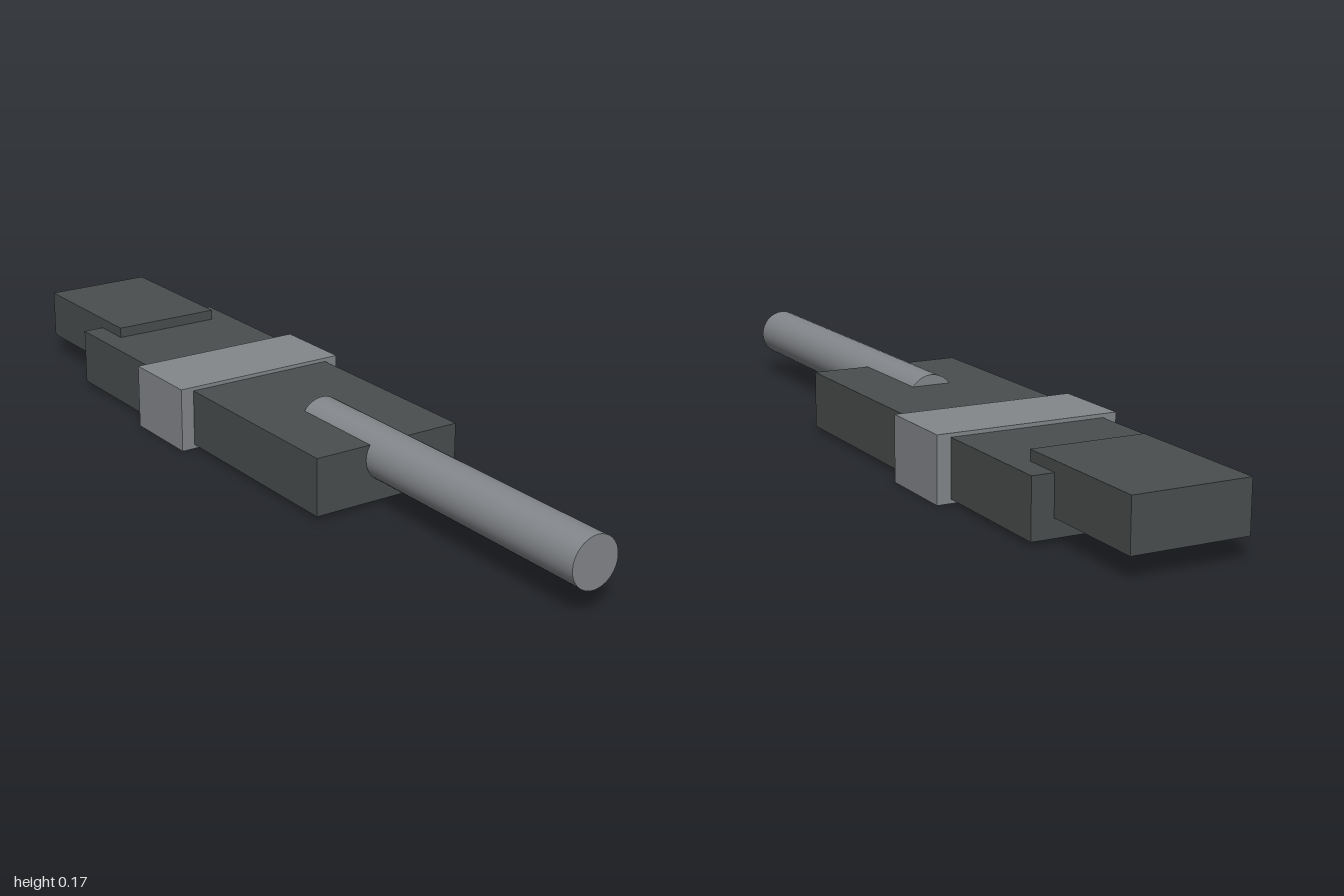
import * as THREE from 'three';

export function createModel() {
  const model = new THREE.Group();
  model.name = 'model';

  const darkMetal = new THREE.MeshStandardMaterial({ color: 0x4a4e4e });
  darkMetal.name = 'dark metal';
  const greyMetal = new THREE.MeshStandardMaterial({ color: 0x84878b });
  greyMetal.name = 'grey metal';

  // Box centred on x, given its width and its y and z extents
  function addBlock(name, width, [y0, y1], [z0, z1], material) {
    const mesh = new THREE.Mesh(new THREE.BoxGeometry(width, y1 - y0, z1 - z0), material);
    mesh.name = name;
    mesh.position.set(0, (y0 + y1) / 2, (z0 + z1) / 2);
    model.add(mesh);
  }

  addBlock('body', 0.378, [0.01, 0.146], [-0.725, 0.333], darkMetal);
  addBlock('collar', 0.444, [0, 0.155], [-0.385, -0.18], greyMetal);
  addBlock('rearBlock', 0.273, [0.053, 0.171], [-1, -0.627], darkMetal);

  // Rod running forward, half sunk into the top of the body
  const rod = new THREE.Mesh(new THREE.CylinderGeometry(0.059, 0.059, 0.922, 32), greyMetal);
  rod.name = 'rod';
  rod.rotation.x = Math.PI / 2;
  rod.position.set(0, 0.112, 0.539);
  model.add(rod);

  return model;
}
